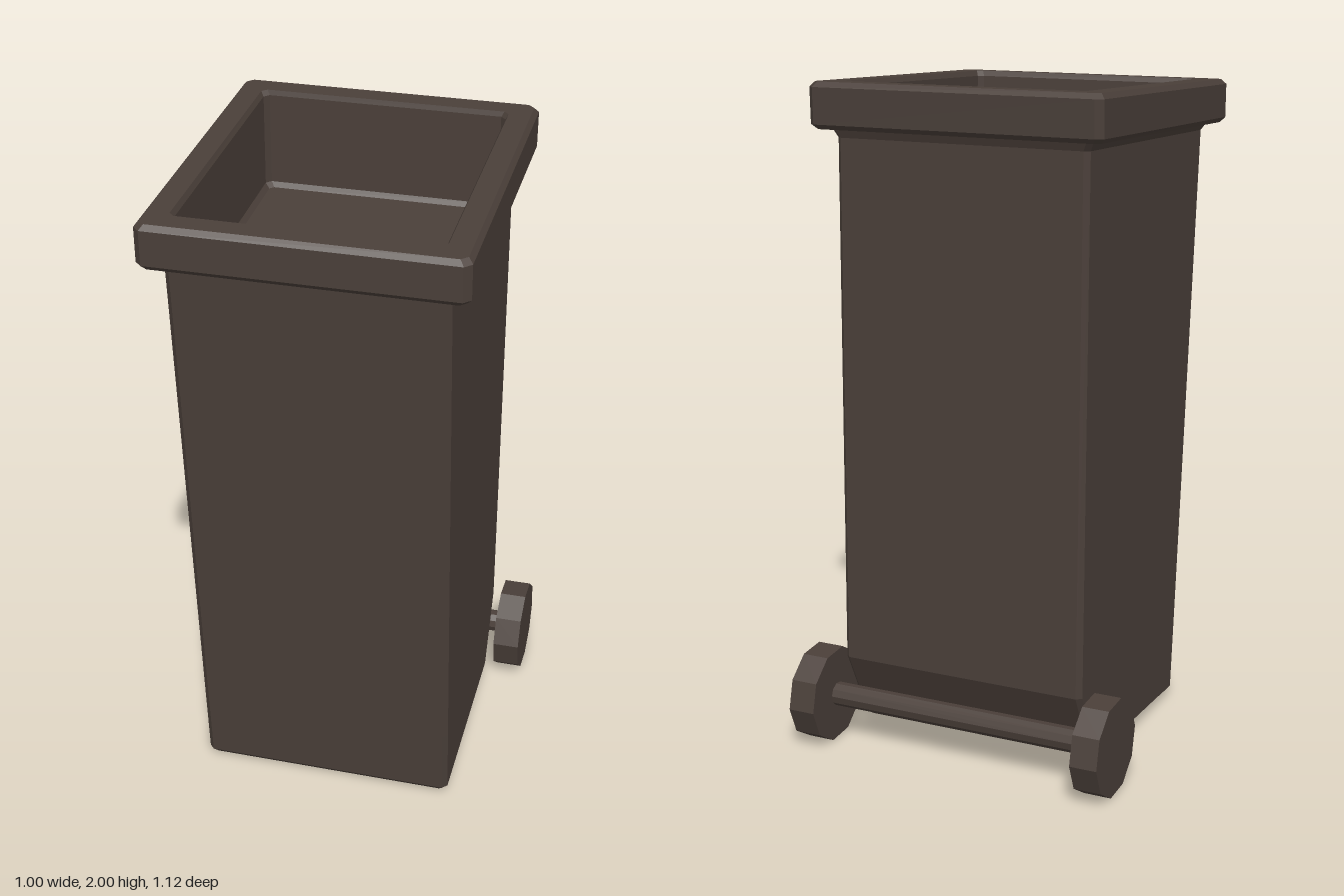
import * as THREE from 'three';

// One tilted rectangular section with cut corners: half width, front z/y, back z/y, corner cut
function section([hx, zf, yf, zb, yb, c]) {
  const outline = [
    [-hx + c, zf], [hx - c, zf], [hx, zf - c], [hx, zb + c],
    [hx - c, zb], [-hx + c, zb], [-hx, zb + c], [-hx, zf - c],
  ];
  return outline.map(([x, z]) => [x, yf + (yb - yf) * (zf - z) / (zf - zb), z]);
}

// Skin a list of sections, optionally closing the first (facing down) or last (facing up)
function loft(name, material, rows, { capStart = false, capEnd = false } = {}) {
  const rings = rows.map(section);
  const pos = [];
  const tri = (a, b, c) => pos.push(...a, ...b, ...c);
  for (let r = 0; r < rings.length - 1; r++) {
    const lo = rings[r], hi = rings[r + 1];
    for (let i = 0; i < 8; i++) {
      const j = (i + 1) % 8;
      tri(lo[i], lo[j], hi[j]);
      tri(lo[i], hi[j], hi[i]);
    }
  }
  for (let i = 1; i < 7; i++) {
    const s = rings[0], e = rings[rings.length - 1];
    if (capStart) tri(s[0], s[i + 1], s[i]);
    if (capEnd) tri(e[0], e[i], e[i + 1]);
  }
  const geo = new THREE.BufferGeometry();
  geo.setAttribute('position', new THREE.Float32BufferAttribute(pos, 3));
  geo.computeVertexNormals();
  const mesh = new THREE.Mesh(geo, material);
  mesh.name = name;
  return mesh;
}

// Flat-sided cylinder lying along x
function xCylinder(name, material, radius, length, sides, x, y, z, roll) {
  const geo = new THREE.CylinderGeometry(radius, radius, length, sides).toNonIndexed();
  geo.rotateZ(Math.PI / 2);
  geo.rotateX(roll);
  geo.computeVertexNormals();
  const mesh = new THREE.Mesh(geo, material);
  mesh.name = name;
  mesh.position.set(x, y, z);
  return mesh;
}

export function createModel() {
  const plastic = new THREE.MeshStandardMaterial({ color: 0x4a3f39 });
  plastic.name = 'dark brown plastic';

  const bin = new THREE.Group();
  bin.name = 'wheeledBin';

  // Tapered body, cut away at the lower back to clear the axle
  bin.add(loft('body', plastic, [
    [0.375, 0.318, 0.012, -0.30, 0.04, 0.012],
    [0.39, 0.333, 0.03, -0.312, 0.05, 0.015],
    [0.39, 0.354, 0.25, -0.42, 0.27, 0.015],
    [0.39, 0.497, 1.81, -0.397, 1.84, 0.015],
    [0.405, 0.512, 1.835, -0.41, 1.87, 0.015],
  ], { capStart: true }));

  // Bevelled collar around the opening
  bin.add(loft('rim', plastic, [
    [0.405, 0.512, 1.835, -0.41, 1.87, 0.015],
    [0.437, 0.542, 1.832, -0.437, 1.866, 0.018],
    [0.45, 0.556, 1.847, -0.452, 1.88, 0.02],
    [0.45, 0.558, 1.948, -0.455, 1.985, 0.02],
    [0.437, 0.545, 1.963, -0.442, 2.0, 0.018],
    [0.373, 0.483, 1.966, -0.377, 1.998, 0.015],
  ]));

  // Shallow recess with a bevelled floor
  bin.add(loft('interior', plastic, [
    [0.373, 0.483, 1.966, -0.377, 1.998, 0.015],
    [0.365, 0.474, 1.95, -0.373, 1.983, 0.015],
    [0.365, 0.465, 1.675, -0.373, 1.707, 0.015],
    [0.352, 0.45, 1.66, -0.363, 1.692, 0.012],
  ], { capEnd: true }));

  // Axle and ten-sided wheels
  const axleY = 0.143, axleZ = -0.419, tilt = 0.075;
  bin.add(xCylinder('axle', plastic, 0.036, 0.86, 10, 0, axleY, axleZ, tilt));
  for (const side of [-1, 1]) {
    const name = side > 0 ? 'leftWheel' : 'rightWheel';
    bin.add(xCylinder(name, plastic, 0.146, 0.083, 10, side * 0.4605, axleY, axleZ, -tilt));
  }
  return bin;
}
